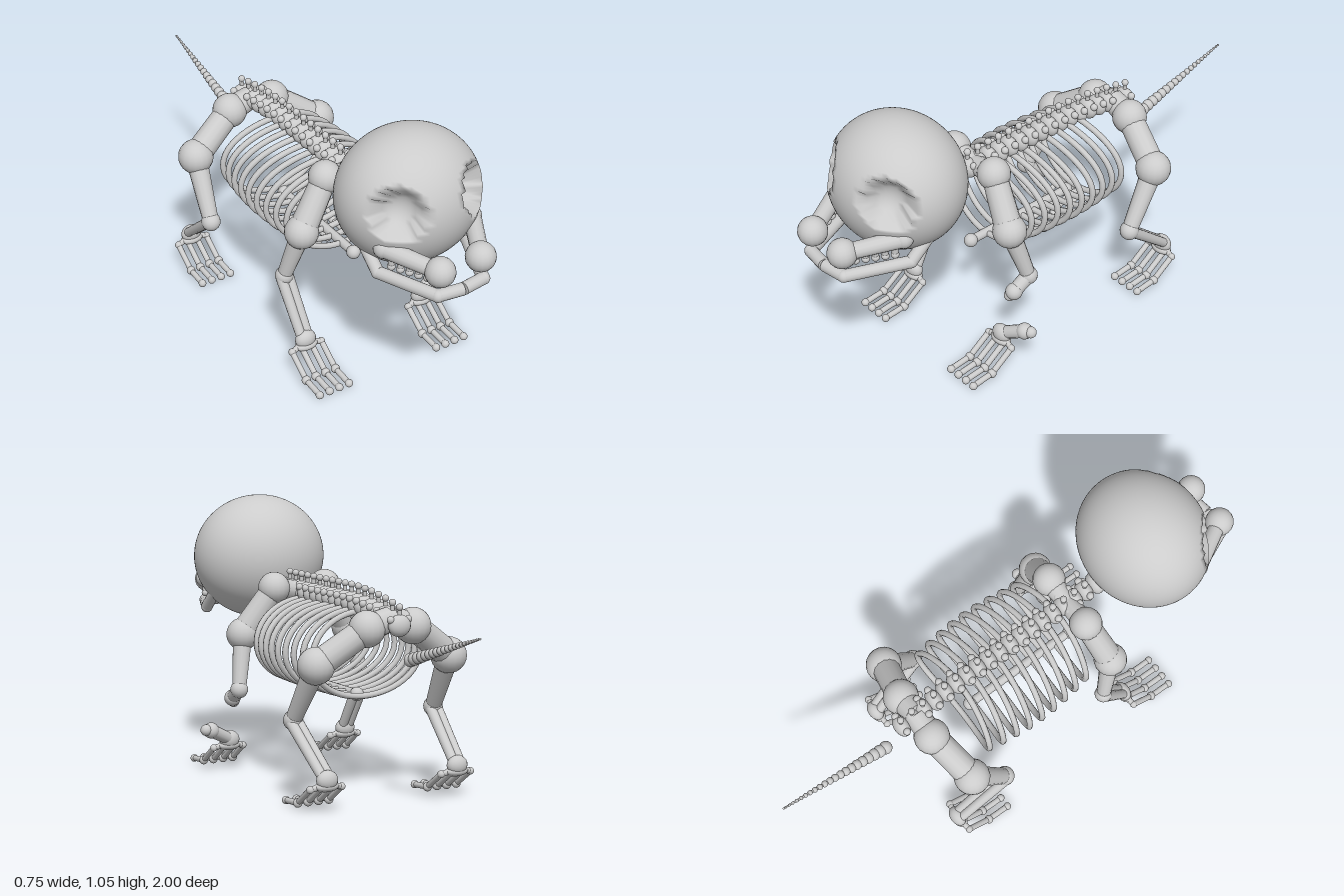
import * as THREE from 'three';
import { mergeVertices } from 'three/addons/utils/BufferGeometryUtils.js';

const mat = new THREE.MeshStandardMaterial({ color: 0xcccccc });
const V = (p) => new THREE.Vector3(...p);

function add(parent, name, geo) {
  const m = new THREE.Mesh(geo, mat);
  m.name = name;
  parent.add(m);
  return m;
}
function group(parent, name) {
  const g = new THREE.Group();
  g.name = name;
  parent.add(g);
  return g;
}
function ball(parent, name, p, r, scale = [1, 1, 1]) {
  const m = add(parent, name, new THREE.SphereGeometry(r, 18, 12));
  m.position.set(...p);
  m.scale.set(...scale);
  return m;
}
// Tapered rod from a (radius ra) to b (radius rb)
function bone(parent, name, a, b, ra, rb = ra) {
  const dir = V(b).sub(V(a));
  const m = add(parent, name, new THREE.CylinderGeometry(rb, ra, dir.length(), 14));
  m.position.copy(V(a).addScaledVector(dir, 0.5));
  m.quaternion.setFromUnitVectors(new THREE.Vector3(0, 1, 0), dir.normalize());
  return m;
}
// Two thin bones side by side
function pairedBone(parent, name, a, b) {
  for (const dx of [-0.014, 0.014]) {
    bone(parent, name, [a[0] + dx, a[1], a[2]], [b[0] + dx, b[1], b[2]], 0.021, 0.018);
  }
}

// Ellipsoid whose surface is hollowed by a ball at each eye
function skullGeometry() {
  let geo = new THREE.SphereGeometry(1, 72, 54);
  geo.deleteAttribute('uv');
  geo.deleteAttribute('normal');
  geo = mergeVertices(geo, 1e-4);
  const pos = geo.attributes.position;
  const p = new THREE.Vector3();
  for (let i = 0; i < pos.count; i++) {
    p.fromBufferAttribute(pos, i).multiply(V([0.266, 0.245, 0.238]));
    const eye = V([Math.sign(p.x || 1) * 0.167, 0.05, 0.178]);
    const r = 0.092;
    if (p.distanceTo(eye) < r) {
      const d = p.clone().normalize();
      const along = d.dot(eye);
      const t = along - Math.sqrt(Math.max(0, along * along - eye.lengthSq() + r * r));
      p.copy(d.multiplyScalar(t));
    }
    pos.setXYZ(i, p.x, p.y, p.z);
  }
  geo.computeVertexNormals();
  return geo;
}

function buildHead(root) {
  const head = group(root, 'head');
  add(head, 'skull', skullGeometry()).position.set(0, 0.815, 0.637);
  for (const s of [1, -1]) {
    // Muzzle bone with a row of teeth below it
    const back = [s * 0.185, 0.72, 0.76], tip = [s * 0.084, 0.695, 0.948];
    bone(head, 'upperJaw', back, tip, 0.033, 0.03);
    ball(head, 'upperJawBack', back, 0.036);
    ball(head, 'muzzleKnob', tip, 0.054);
    for (let i = 0; i < 5; i++) {
      const q = V(back).lerp(V(tip), 0.15 + i * 0.16);
      bone(head, 'toothRoot', [q.x, q.y, q.z], [q.x, 0.66, q.z], 0.014, 0.012);
      ball(head, 'tooth', [q.x, 0.657, q.z], 0.015);
    }
    // Lower jaw half
    const path = [[s * 0.19, 0.69, 0.64], [s * 0.188, 0.607, 0.735], [s * 0.095, 0.606, 0.955], [s * 0.002, 0.606, 0.968]];
    for (let i = 0; i < 3; i++) {
      bone(head, 'lowerJaw', path[i], path[i + 1], 0.023);
      ball(head, 'jawJoint', path[i], 0.0235);
    }
    ball(head, 'jawJoint', path[2], 0.0235);
  }
}

function buildTrunk(root) {
  // Vertebrae with spines and side knobs
  const spine = group(root, 'spine');
  for (let i = 0; i < 19; i++) {
    const z = 0.415 - i * 0.0495;
    const t = Math.max(0, (-0.1 - z) / 0.37);
    const y = 0.71 - 0.045 * t * t;
    ball(spine, 'vertebra', [0, y, z], 0.04, [1.1, 1, 0.72]);
    if (i === 0) continue;
    bone(spine, 'spineRod', [0, y, z], [0, y + 0.066, z], 0.008);
    ball(spine, 'spineKnob', [0, y + 0.066, z], 0.013);
    for (const s of [1, -1]) ball(spine, 'sideKnob', [s * 0.036, y + 0.022, z], 0.014);
  }
  // Ribs: closed ovals bowed toward the rear at the sides
  const cage = group(root, 'ribCage');
  for (let i = 0; i < 9; i++) {
    const z = 0.235 - i * 0.0565;
    const rx = 0.225 + 0.025 * Math.sin(Math.PI * i / 8);
    const pts = [];
    for (let k = 0; k < 32; k++) {
      const a = k / 32 * Math.PI * 2;
      pts.push(new THREE.Vector3(rx * Math.sin(a), 0.53 + 0.158 * Math.cos(a), z - 0.028 * Math.sin(a) ** 2));
    }
    add(cage, 'rib', new THREE.TubeGeometry(new THREE.CatmullRomCurve3(pts, true), 48, 0.0115, 8, true));
  }
  bone(cage, 'sternum', [0, 0.372, 0.31], [0, 0.372, -0.17], 0.017);
  ball(cage, 'sternumEnd', [0, 0.372, 0.31], 0.026);
  ball(cage, 'sternumEnd', [0, 0.372, -0.17], 0.026);
  // Tail of shrinking beads
  const tail = group(root, 'tail');
  const a = V([0, 0.552, -0.555]), b = V([0, 0.683, -0.996]);
  for (let i = 0; i < 22; i++) {
    const t = 1 - Math.pow(1 - i / 21, 1.25);
    const p = a.clone().lerp(b, t);
    ball(tail, 'tailBead', [p.x, p.y, p.z], 0.025 - 0.021 * t);
  }
  bone(tail, 'tailCore', a.toArray(), b.toArray(), 0.012, 0.003);
}

// Palm and four toes pointing forward from the wrist
function foot(parent, x, z) {
  const f = group(parent, 'foot');
  ball(f, 'wrist', [x, 0.128, z - 0.004], 0.036, [1.15, 1, 0.8]);
  ball(f, 'palm', [x, 0.105, z], 0.047, [1, 0.42, 0.6]);
  for (let i = 0; i < 4; i++) {
    const tx = x + (i - 1.5) * 0.042;
    const path = [[tx, 0.098, z + 0.005], [tx, 0.032, z + 0.1], [tx, 0.024, z + 0.19]];
    bone(f, 'palmRod', [x + (i - 1.5) * 0.022, 0.105, z], path[0], 0.011);
    bone(f, 'toe', path[0], path[1], 0.011);
    bone(f, 'toe', path[1], path[2], 0.011);
    ball(f, 'toeKnuckle', path[0], 0.014);
    ball(f, 'toeKnuckle', path[1], 0.017);
    ball(f, 'toeTip', path[2], 0.015);
  }
}

function buildLegs(root) {
  for (const s of [1, -1]) {
    const side = s > 0 ? 'left' : 'right';
    // Front leg
    const front = group(root, side + 'FrontLeg');
    const shoulder = [s * 0.11, 0.725, 0.286], elbow = [s * 0.23, 0.55, 0.318], knee = [s * 0.272, 0.345, 0.265];
    bone(front, 'collarBone', [0, 0.71, 0.286], shoulder, 0.035, 0.045);
    ball(front, 'shoulder', shoulder, 0.062);
    bone(front, 'upperArm', shoulder, elbow, 0.046, 0.052);
    ball(front, 'elbow', elbow, 0.063);
    bone(front, 'foreArm', elbow, knee, 0.038, 0.027);
    ball(front, 'frontKnee', knee, 0.034);
    if (s < 0) {
      pairedBone(front, 'shank', knee, [s * 0.258, 0.13, 0.385]);
    } else {
      // Broken shank: a short stub above, a fallen stub on the foot
      const stub = [0.268, 0.302, 0.333], fallen = [0.35, 0.177, 0.355];
      bone(front, 'brokenShankTop', knee, stub, 0.028, 0.026);
      ball(front, 'brokenEnd', stub, 0.032);
      ball(front, 'brokenTip', [0.258, 0.285, 0.345], 0.022);
      bone(front, 'brokenShankBottom', [0.258, 0.13, 0.385], fallen, 0.024, 0.026);
      ball(front, 'brokenEnd', fallen, 0.031);
      ball(front, 'brokenTip', [0.375, 0.182, 0.347], 0.022);
    }
    foot(front, s * 0.258, 0.39);

    // Hind leg
    const hind = group(root, side + 'HindLeg');
    const hip = [s * 0.095, 0.65, -0.41], stifle = [s * 0.275, 0.525, -0.365], hock = [s * 0.295, 0.31, -0.228];
    bone(hind, 'pelvis', [0, 0.68, -0.41], hip, 0.045, 0.05);
    ball(hind, 'hip', hip, 0.067);
    bone(hind, 'thigh', hip, stifle, 0.05, 0.052);
    ball(hind, 'stifle', stifle, 0.068);
    bone(hind, 'shin', stifle, hock, 0.042, 0.03);
    ball(hind, 'hock', hock, 0.037);
    pairedBone(hind, 'hindShank', hock, [s * 0.27, 0.125, -0.45]);
    foot(hind, s * 0.27, -0.435);
  }
}

export function createModel() {
  const model = new THREE.Group();
  model.name = 'animalSkeleton';
  const body = group(model, 'skeleton');
  body.position.x = -0.027;
  buildHead(body);
  buildTrunk(body);
  buildLegs(body);
  return model;
}
